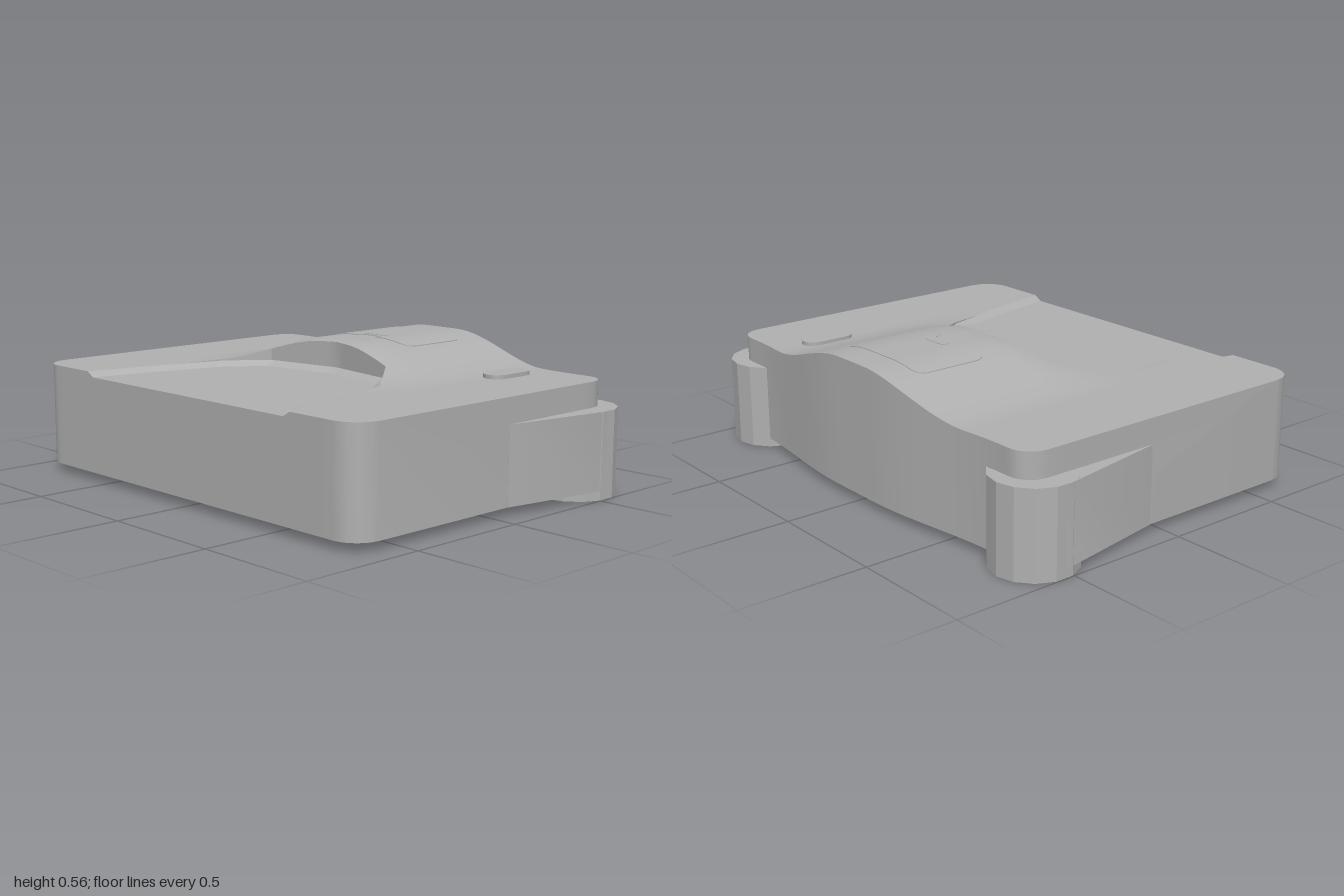
import * as THREE from 'three';
import { toCreasedNormals } from 'three/addons/utils/BufferGeometryUtils.js';

const W = 0.915, FRONT = 0.705, BASE = 0.035, DECK = 0.44, FLOOR = 0.42;
const R_FRONT = 0.11, R_BACK = 0.09;
const ss = THREE.MathUtils.smoothstep;

// piecewise linear curve through [x, z] points
function along(points, x) {
  for (let i = 1; i < points.length; i++) {
    const [x0, z0] = points[i - 1], [x1, z1] = points[i];
    if (x <= x1) return z0 + (z1 - z0) * (x - x0) / (x1 - x0);
  }
  return points[points.length - 1][1];
}

// recess rim and the foot of its chamfer, right half
const rim = [[0, -0.08], [0.33, -0.025], [0.455, 0.135], [0.54, 0.45], [0.595, FRONT]];
const chamfer = [[0, -0.045], [0.31, 0.008], [0.425, 0.155], [0.512, 0.46], [0.56, FRONT]];

// how far a rounded corner cuts in at distance x from the centre
function cornerCut(x, r) {
  const d = Math.max(0, x - (W - r));
  return r - Math.sqrt(Math.max(0, r * r - d * d));
}
const backEdge = (x) => -0.64 - 0.06 * (1 - ss(x, 0.12, 0.78)) + cornerCut(x, R_BACK);
const frontEdge = (x) => FRONT - cornerCut(x, R_FRONT);

// height of the top with its raised hump
const topHeight = (x, z) => DECK + 0.11 * (1 - ss(Math.abs(x), 0.08, 0.6)) * (1 - ss(z, -0.15, 0.3));

const mirrorList = (half) => {
  const h = [...new Set(half)].sort((a, b) => a - b);
  return [...h.filter((x) => x > 0).reverse().map((x) => -x), ...h];
};

// skin closed [z, y] sections placed along x, with flat ends
function loft(xs, section, crease = 0.5) {
  const rings = xs.map((x, i) => section(x, i).map(([z, y]) => new THREE.Vector3(x, y, z)));
  const n = rings[0].length, pos = [];
  const tri = (a, b, c) => {
    const area = b.clone().sub(a).cross(c.clone().sub(a)).length();
    if (area > 1e-9) for (const p of [a, b, c]) pos.push(p.x, p.y, p.z);
  };
  for (let i = 0; i < rings.length - 1; i++) {
    for (let j = 0; j < n; j++) {
      const k = (j + 1) % n, p = rings[i], q = rings[i + 1];
      tri(p[j], p[k], q[k]);
      tri(p[j], q[k], q[j]);
    }
  }
  const first = rings[0], last = rings[rings.length - 1];
  for (let j = 1; j < n - 1; j++) {
    tri(first[0], first[j + 1], first[j]);
    tri(last[0], last[j], last[j + 1]);
  }
  const g = new THREE.BufferGeometry();
  g.setAttribute('position', new THREE.Float32BufferAttribute(pos, 3));
  return toCreasedNormals(g, crease);
}

// upright slab from an outline in x, z
function slab(shape, y0, y1) {
  const g = new THREE.ExtrudeGeometry(shape, { depth: y1 - y0, bevelEnabled: false, curveSegments: 8 });
  g.rotateX(Math.PI / 2);
  g.translate(0, y1, 0);
  return toCreasedNormals(g, 0.5);
}

function bodyGeometry() {
  const half = [0, ...rim.map((p) => p[0]), ...chamfer.map((p) => p[0])];
  for (let x = 0.05; x < 0.8; x += 0.05) half.push(x);
  for (let a = 0; a <= 4; a++) {
    const s = Math.sin(a * Math.PI / 8);
    half.push(W - R_FRONT + R_FRONT * s, W - R_BACK + R_BACK * s);
  }
  const xs = mirrorList(half.map((x) => Number(x.toFixed(5))));
  return loft(xs, (sx) => {
    const x = Math.abs(sx), zb = backEdge(x), zf = frontEdge(x);
    const edge = x < 0.595 ? along(rim, x) : zf;
    const inner = x < 0.56 ? along(chamfer, x) : zf;
    const floorY = THREE.MathUtils.clamp(FLOOR + (x - 0.56) / 0.035 * (DECK - FLOOR), FLOOR, DECK);
    const ring = [[zb, BASE]];
    for (let i = 0; i <= 16; i++) {
      const z = zb + (edge - zb) * i / 16;
      ring.push([z, topHeight(x, z)]);
    }
    ring.push([edge, DECK], [inner, floorY], [zf, floorY], [zf, BASE]);
    return ring;
  });
}

// rounded cover plate that follows the hump, with a latch notch in its front edge
function coverGeometry() {
  const hw = 0.23, r = 0.045, notch = 0.055;
  const half = [0, notch - 1e-5, notch, 0.1, 0.14];
  for (let a = 0; a <= 4; a++) half.push(hw - r + r * Math.sin(a * Math.PI / 8));
  return loft(mirrorList(half), (sx) => {
    const x = Math.abs(sx), d = Math.max(0, x - (hw - r));
    const cut = r - Math.sqrt(Math.max(0, r * r - d * d));
    const zb = -0.57 + cut, zf = x < notch ? -0.275 : -0.25 - cut;
    const y = topHeight(x, -0.4);
    return [[zb, y - 0.006], [zb, y + 0.003], [zf, y + 0.003], [zf, y - 0.006]];
  });
}

export function createModel() {
  const group = new THREE.Group();
  const grey = new THREE.MeshStandardMaterial({ color: 0xb0b0b0 });
  grey.name = 'plain grey';
  const add = (name, geometry, x = 0, y = 0, z = 0) => {
    const mesh = new THREE.Mesh(geometry, grey);
    mesh.name = name;
    mesh.position.set(x, y, z);
    group.add(mesh);
    return mesh;
  };

  add('body', bodyGeometry());
  add('coverPlate', coverGeometry());
  add('latchBar', new THREE.BoxGeometry(0.11, 0.006, 0.028), 0, 0.552, -0.31);

  // pill-shaped button on the left of the top
  const pill = new THREE.Shape();
  pill.absarc(0.6, -0.355, 0.05, 0, Math.PI, false);
  pill.absarc(0.6, -0.48, 0.05, Math.PI, 2 * Math.PI, false);
  const button = new THREE.Shape();
  button.absarc(0.6, -0.355, 0.05, 0, Math.PI, false);
  button.absarc(0.6, -0.477, 0.05, Math.PI, 2 * Math.PI, false);
  add('button', slab(button, 0.43, 0.456));

  // corner feet, each blended into the side by a tapering fin
  for (const s of [1, -1]) {
    const side = s > 0 ? 'left' : 'right';
    const column = toCreasedNormals(new THREE.CylinderGeometry(0.165, 0.165, 0.34, 14), 0.3);
    add(side + 'FootColumn', column, s * 0.835, 0.17, -0.54);
    const fin = new THREE.Shape([[0.88, -0.06], [0.916, -0.06], [0.998, -0.52], [0.99, -0.56], [0.84, -0.54]]
      .map(([x, z]) => new THREE.Vector2(s * x, z)));
    add(side + 'FootFin', slab(fin, BASE, 0.3395));
  }
  return group;
}
